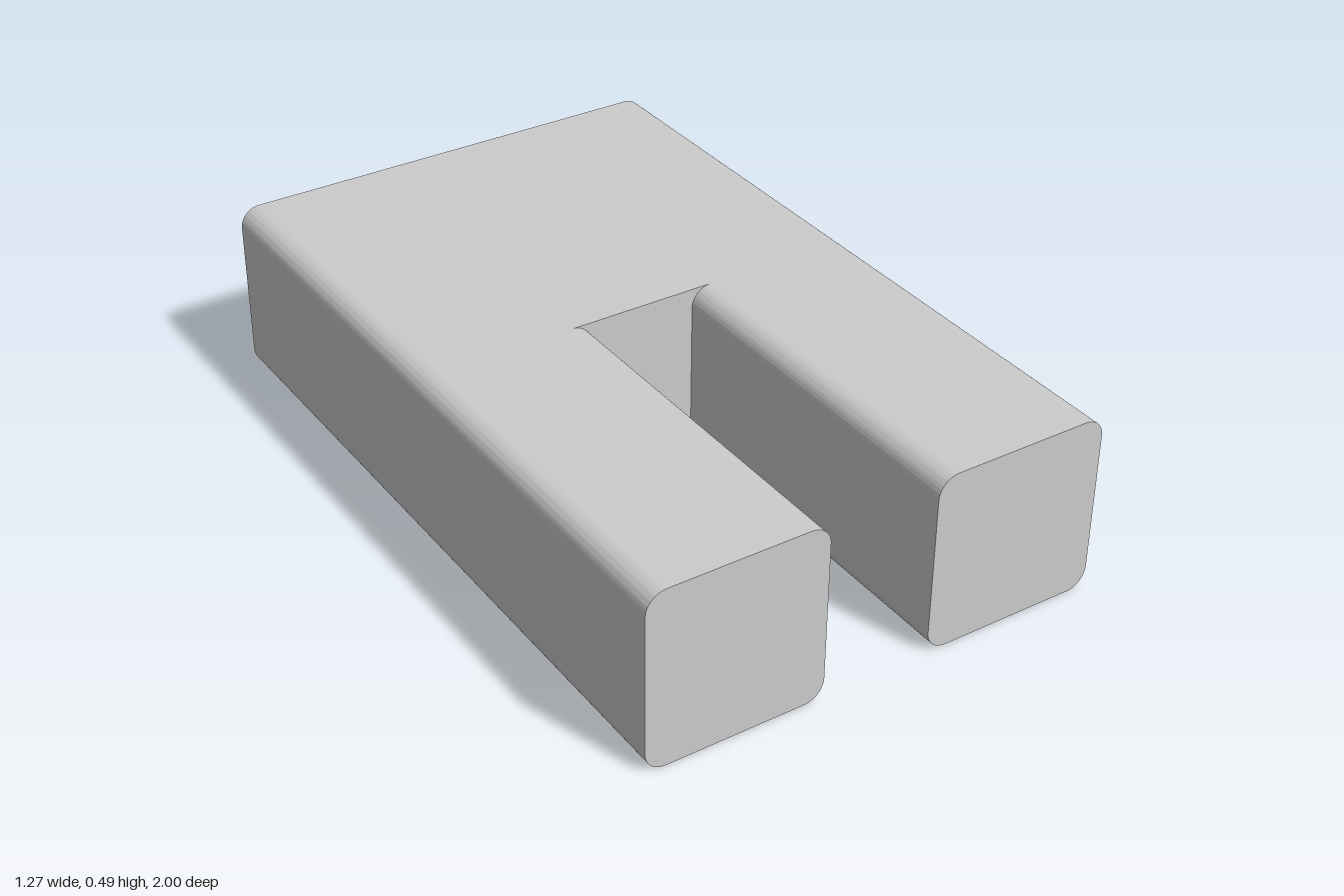
import * as THREE from 'three';
import { toCreasedNormals } from 'three/addons/utils/BufferGeometryUtils.js';

const W = 0.635, GAP = 0.15, H = 0.49, R = 0.055; // half width, half gap, height, edge radius
const SEG = 12, Q = Math.PI / 2;

// Rounded rectangle from x0 to x1 over the full height
function roundedSection(x0, x1) {
  const s = new THREE.Shape();
  s.absarc(x1 - R, R, R, -Q, 0);
  s.absarc(x1 - R, H - R, R, 0, Q);
  s.absarc(x0 + R, H - R, R, Q, 2 * Q);
  s.absarc(x0 + R, R, R, 2 * Q, 3 * Q);
  s.closePath();
  return s;
}

// Section of the slot between the rounded prongs
function slotSection() {
  const s = new THREE.Shape(), c = GAP + R;
  s.absarc(c, R, R, -Q, -2 * Q, true);
  s.absarc(c, H - R, R, 2 * Q, Q, true);
  s.absarc(-c, H - R, R, Q, 0, true);
  s.absarc(-c, R, R, 0, -Q, true);
  s.closePath();
  return s;
}

// Side walls only, so no faces are left inside the solid
function walls(shape, z0, z1) {
  const g = new THREE.ExtrudeGeometry(shape, { depth: z1 - z0, bevelEnabled: false, curveSegments: SEG });
  const { start, count } = g.groups[1];
  const pos = g.attributes.position.array.slice(start * 3, (start + count) * 3);
  const open = new THREE.BufferGeometry();
  open.setAttribute('position', new THREE.BufferAttribute(pos, 3));
  open.computeVertexNormals();
  return toCreasedNormals(open, 0.5).translate(0, 0, z0);
}

const face = (shape, z) => new THREE.ShapeGeometry(shape, SEG).translate(0, 0, z);

export function createModel() {
  const model = new THREE.Group();
  const material = new THREE.MeshStandardMaterial({ color: 0xcccccc, side: THREE.DoubleSide });
  const add = (name, geometry, parent = model) => {
    const mesh = new THREE.Mesh(geometry, material);
    mesh.name = name;
    parent.add(mesh);
    return mesh;
  };

  // Rear block
  const body = roundedSection(-W, W);
  add('bodyWalls', walls(body, -1, 0));
  add('backFace', face(body, 0).rotateY(Math.PI).translate(0, 0, -1));
  add('slotEndFace', face(slotSection(), 0));

  // Two forward prongs
  for (const [name, x0, x1] of [['leftProng', GAP, W], ['rightProng', -W, -GAP]]) {
    const prong = new THREE.Group();
    prong.name = name;
    const section = roundedSection(x0, x1);
    add(name + 'Walls', walls(section, 0, 1), prong);
    add(name + 'FrontFace', face(section, 1), prong);
    model.add(prong);
  }
  return model;
}
